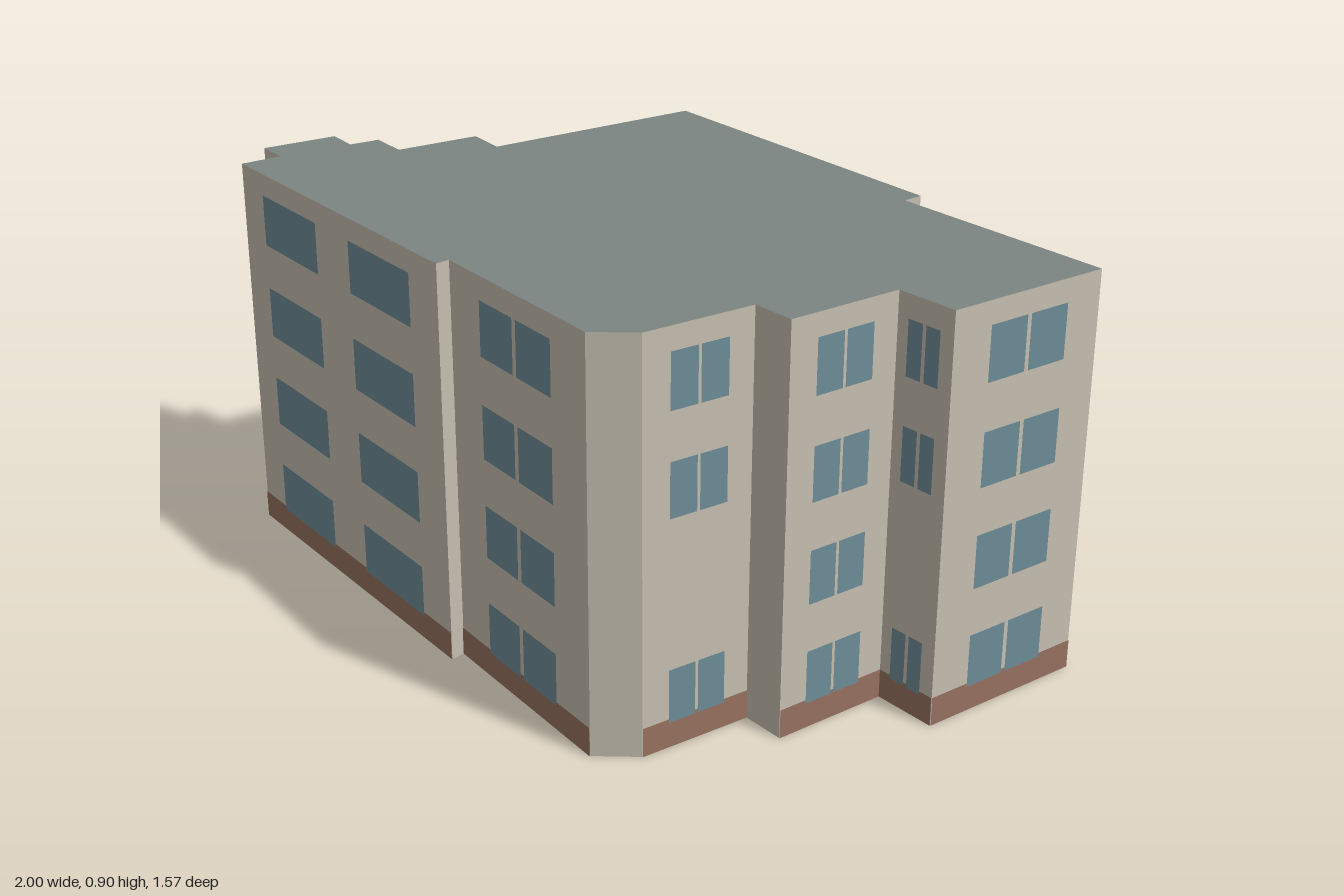
import * as THREE from 'three';

const HEIGHT = 0.905;
const BAND = 0.065;
const PANE_HEIGHT = 0.12;
const SILLS = [0.058, 0.285, 0.51, 0.735];

// Storeys that carry windows
const ALL = [0, 1, 2, 3];
const SKIP = [0, 2, 3];

// Window columns as fractions of the wall length
const WIDE = [[0.12, 0.41], [0.58, 0.875]];
const MEDIUM = [[0.13, 0.41], [0.587, 0.867]];
const PAIR = [[0.24, 0.487], [0.513, 0.765]];
const SMALL_PAIR = [[0.21, 0.47], [0.53, 0.78]];

// Footprint corners, each with the wall that starts there:
// x, z, window columns (none = plain wall without brick base), storeys
const WALLS = [
  [-0.985, 0.005, WIDE, ALL],
  [-0.265, 0.515],
  [-0.25, 0.485, PAIR, ALL],
  [0.15, 0.78],
  [0.25, 0.75, PAIR, SKIP],
  [0.405, 0.54],
  [0.49, 0.595, PAIR, ALL],
  [0.645, 0.37, SMALL_PAIR, SKIP],
  [0.77, 0.45, PAIR, ALL],
  [1.0, 0.12, MEDIUM, ALL],
  [0.535, -0.205],
  [0.56, -0.25, WIDE, ALL],
  [-0.155, -0.785, MEDIUM, ALL],
  [-0.48, -0.32, SMALL_PAIR, SKIP],
  [-0.565, -0.39, PAIR, SKIP],
  [-0.69, -0.22],
  [-0.775, -0.285],
  [-0.82, -0.225],
  [-0.89, -0.28, PAIR, SKIP],
  [-1.0, -0.13],
  [-0.93, -0.08],
];

export function createModel() {
  const wallMat = new THREE.MeshStandardMaterial({ color: 0xc4bdb0, side: THREE.DoubleSide });
  const roofMat = new THREE.MeshStandardMaterial({ color: 0x7c8582, side: THREE.DoubleSide });
  const brickMat = new THREE.MeshStandardMaterial({ color: 0x96705f });
  const glassMat = new THREE.MeshStandardMaterial({ color: 0x6d8c97 });

  const model = new THREE.Group();
  model.name = 'apartmentBuilding';

  // Upright rectangle in a wall's own frame: u along the wall, v up
  const panel = (parent, name, mat, u0, u1, v0, v1, out) => {
    const mesh = new THREE.Mesh(new THREE.PlaneGeometry(u1 - u0, v1 - v0), mat);
    mesh.position.set((u0 + u1) / 2, (v0 + v1) / 2, out);
    mesh.name = name;
    parent.add(mesh);
  };

  WALLS.forEach(([x, z, columns, storeys], i) => {
    const [nx, nz] = WALLS[(i + 1) % WALLS.length];
    const length = Math.hypot(nx - x, nz - z);

    // Local +x runs along the wall, local +z points outwards
    const side = new THREE.Group();
    side.name = 'wallSection';
    side.position.set(x, 0, z);
    side.rotation.y = Math.atan2(z - nz, nx - x);
    model.add(side);

    panel(side, 'wall', wallMat, 0, length, 0, HEIGHT, 0);
    if (!columns) return;

    // Brick base and window panes
    panel(side, 'brickBase', brickMat, 0, length, 0, BAND, 0.0015);
    for (const s of storeys) {
      for (const [a, b] of columns) {
        panel(side, 'windowPane', glassMat, a * length, b * length, SILLS[s], SILLS[s] + PANE_HEIGHT, 0.003);
      }
    }
  });

  // Flat roof following the footprint
  const outline = new THREE.Shape(WALLS.map(([x, z]) => new THREE.Vector2(x, -z)));
  const roof = new THREE.Mesh(new THREE.ShapeGeometry(outline).rotateX(-Math.PI / 2), roofMat);
  roof.position.y = HEIGHT;
  roof.name = 'roof';
  model.add(roof);

  return model;
}
